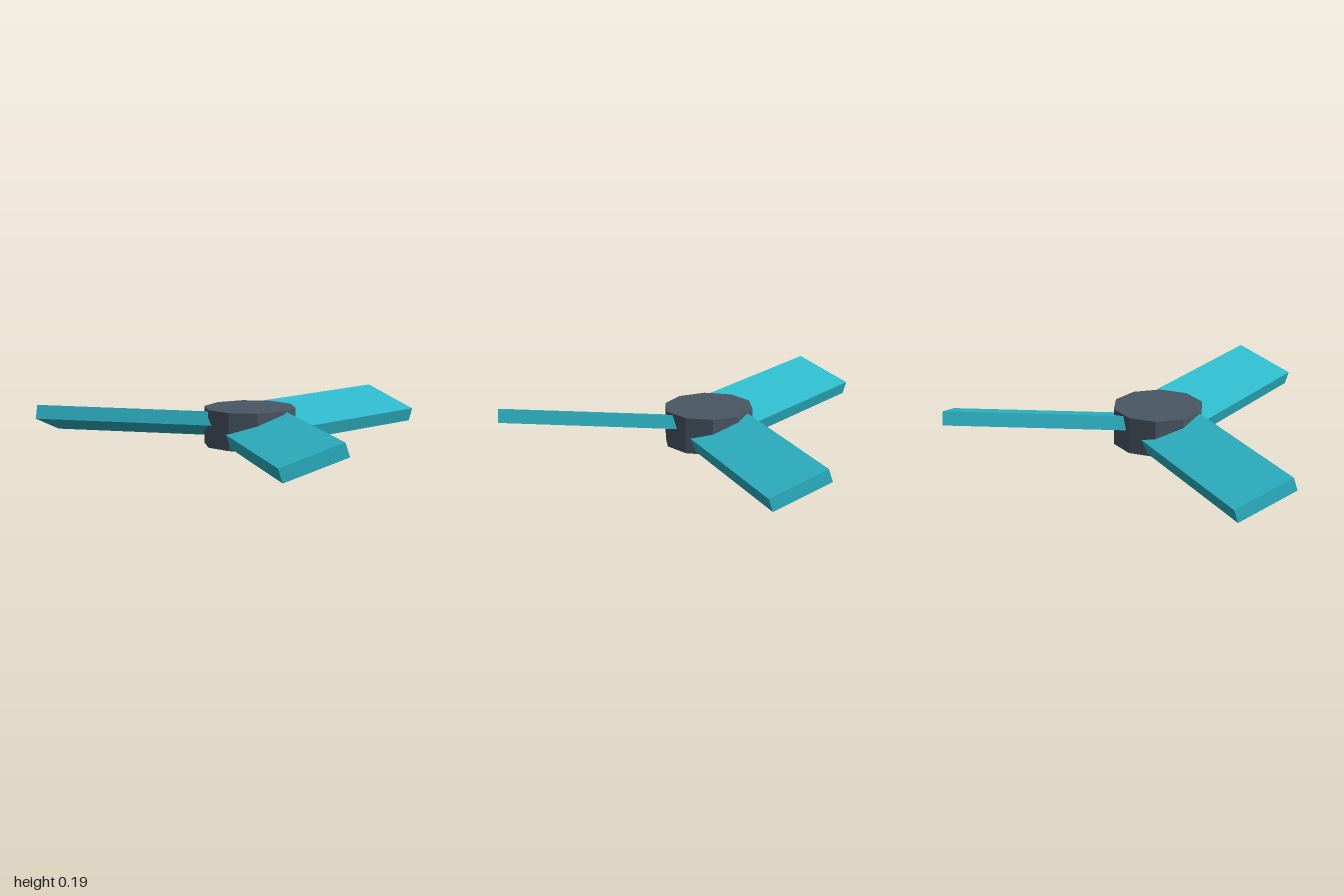
import * as THREE from 'three';

const HUB_X = -0.197, HUB_RADIUS = 0.227, HUB_HEIGHT = 0.185;
const BLADE_START = 0.1, BLADE_END = 1.059;
const BLADE_WIDTH = 0.32, BLADE_THICKNESS = 0.07;
const BLADE_PITCH = THREE.MathUtils.degToRad(18);
const BLADE_COUNT = 3;

export function createModel() {
  const model = new THREE.Group();
  model.name = 'propeller';

  const teal = new THREE.MeshStandardMaterial({ color: 0x2eb8ca, flatShading: true });
  teal.name = 'teal';
  const slate = new THREE.MeshStandardMaterial({ color: 0x4a5864, flatShading: true });
  slate.name = 'slate grey';

  // Everything turns about the hub axis
  const rotor = new THREE.Group();
  rotor.name = 'rotor';
  rotor.position.set(HUB_X, HUB_HEIGHT / 2, 0);
  model.add(rotor);

  // Ten-sided hub
  const hub = new THREE.Mesh(
    new THREE.CylinderGeometry(HUB_RADIUS, HUB_RADIUS, HUB_HEIGHT, 10), slate);
  hub.name = 'hub';
  rotor.add(hub);

  // Pitched blades, rooted inside the hub
  const bladeGeometry = new THREE.BoxGeometry(
    BLADE_END - BLADE_START, BLADE_THICKNESS, BLADE_WIDTH);
  bladeGeometry.rotateX(BLADE_PITCH);
  bladeGeometry.translate((BLADE_START + BLADE_END) / 2, 0.002, 0);
  for (let i = 0; i < BLADE_COUNT; i++) {
    const blade = new THREE.Mesh(bladeGeometry, teal);
    blade.name = `blade${i + 1}`;
    blade.rotation.y = (i * Math.PI * 2) / BLADE_COUNT;
    rotor.add(blade);
  }

  return model;
}
